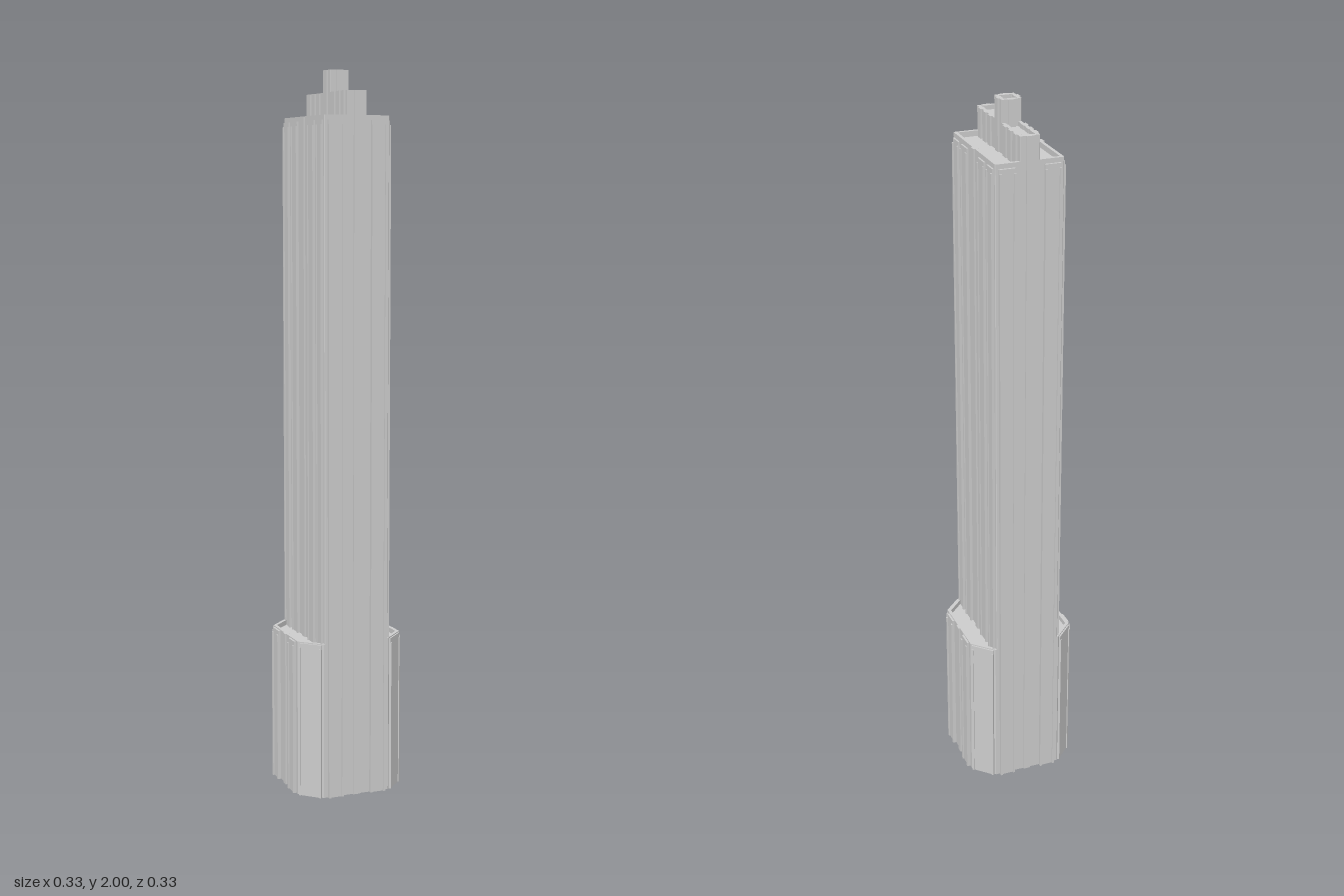
import * as THREE from 'three';

const material = new THREE.MeshStandardMaterial({ color: 0xcccccc, flatShading: true, side: THREE.DoubleSide });
const WALL = 0.009;

// Rectangle with cut corners, as points in plan
function outline(hx, hz, c) {
  return [[hx, -hz + c], [hx, hz - c], [hx - c, hz], [-hx + c, hz],
    [-hx, hz - c], [-hx, -hz + c], [-hx + c, -hz], [hx - c, -hz]].map(([x, z]) => new THREE.Vector2(x, z));
}

// Upright extrusion of a plan outline, optionally with a hole
function slab(name, points, y0, y1, hole) {
  const shape = new THREE.Shape(points);
  if (hole) shape.holes.push(new THREE.Path(hole));
  const geo = new THREE.ExtrudeGeometry(shape, { depth: y1 - y0, bevelEnabled: false });
  geo.rotateX(-Math.PI / 2).translate(0, y0, 0);
  const mesh = new THREE.Mesh(geo, material);
  mesh.name = name;
  return mesh;
}

// Hollow storey: open-bottomed walls, a sunken roof and a parapet
function tier(name, hx, hz, c, y0, y1, roofDrop, roofHole) {
  const g = new THREE.Group();
  g.name = name;
  const inner = outline(hx - WALL, hz - WALL, Math.max(c - 0.586 * WALL, 0.001));
  g.add(slab('walls', outline(hx, hz, c), y0, y1, inner));
  g.add(slab('roof', inner, y1 - roofDrop - 0.004, y1 - roofDrop, roofHole));
  return g;
}

function box(name, w, h, d, x, y, z) {
  const mesh = new THREE.Mesh(new THREE.BoxGeometry(w, h, d), material);
  mesh.name = name;
  mesh.position.set(x, y, z);
  return mesh;
}

// Vertical facade bay: shallow strip between two projecting posts, facing +z
function bay(width, y0, y1, proud) {
  const g = new THREE.Group();
  g.name = 'facadeBay';
  const h = y1 - y0, mid = y0 + h / 2;
  g.add(box('strip', width, h + 0.012, proud * 0.6 + 0.004, 0, mid + 0.006, proud * 0.3 - 0.002));
  for (const s of [-1, 1]) {
    g.add(box('post', 0.006, h, proud + 0.004, s * (width / 2 - 0.003), mid, proud / 2 - 0.002));
  }
  return g;
}

// Stand a facade part on a wall: offset along it, distance out, turned by angle
function place(part, along, out, angle) {
  part.rotation.y = angle;
  part.position.set(along * Math.cos(angle) + out * Math.sin(angle), 0,
    -along * Math.sin(angle) + out * Math.cos(angle));
  return part;
}

// Narrow central pilaster, facing +z
function pilaster(width, y0, y1) {
  const g = new THREE.Group();
  g.name = 'pilaster';
  g.add(box('strip', width, y1 - y0, 0.015, 0, (y0 + y1) / 2, -0.003));
  return g;
}

export function createModel() {
  const model = new THREE.Group();
  model.name = 'tower';
  const half = 0.153, baseTop = 0.44, slabX = 0.094, slabTop = 1.875;

  // Stacked masses
  model.add(tier('base', half, half, 0.056, 0, baseTop, 0.014,
    outline(slabX - WALL, half - WALL - 0.002, 0.001)));
  model.add(tier('mainSlab', slabX, half, 0.002, 0.42, slabTop, 0.015));
  model.add(tier('crownFin', 0.027, half, 0.001, 1.855, 1.94, 0.012));
  model.add(tier('topCore', 0.027, 0.027, 0.001, 1.92, 2, 0.012));

  for (const side of [0, Math.PI]) {
    // Broad front and back faces
    model.add(place(pilaster(0.02, 0, 1.94), 0, half, side));
    for (const x of [-0.0625, 0.0625]) model.add(place(bay(0.045, 0, 1.85, 0.01), x, half, side));

    // Slab flanks and base flanks
    const flank = side + Math.PI / 2;
    model.add(place(pilaster(0.02, 0.42, slabTop), 0, slabX, flank));
    model.add(place(pilaster(0.02, 0, baseTop), 0, half, flank));
    for (const z of [-0.0625, 0.0625]) {
      model.add(place(bay(0.045, 0.42, 1.85, 0.008), z, slabX, flank));
      model.add(place(bay(0.045, 0, 0.425, 0.01), z, half, flank));
    }
    for (const z of [-0.125, 0.125]) model.add(place(bay(0.04, 0.42, 1.85, 0.008), z, slabX, flank));

    // Crown fin flanks and core ends
    for (const z of [-0.125, -0.09, -0.055, 0, 0.055, 0.09, 0.125]) {
      model.add(place(pilaster(0.02, 1.86, z === 0 ? 2 : 1.94), z, 0.027, flank));
    }
    model.add(place(pilaster(0.02, 1.92, 2), 0, 0.027, side));

    // Cut corners of the base
    const cornerOut = (2 * half - 0.056) / Math.SQRT2;
    for (const turn of [Math.PI / 4, -Math.PI / 4]) {
      model.add(place(bay(0.068, 0, 0.425, 0.007), 0, cornerOut, side + turn));
    }
  }
  return model;
}
